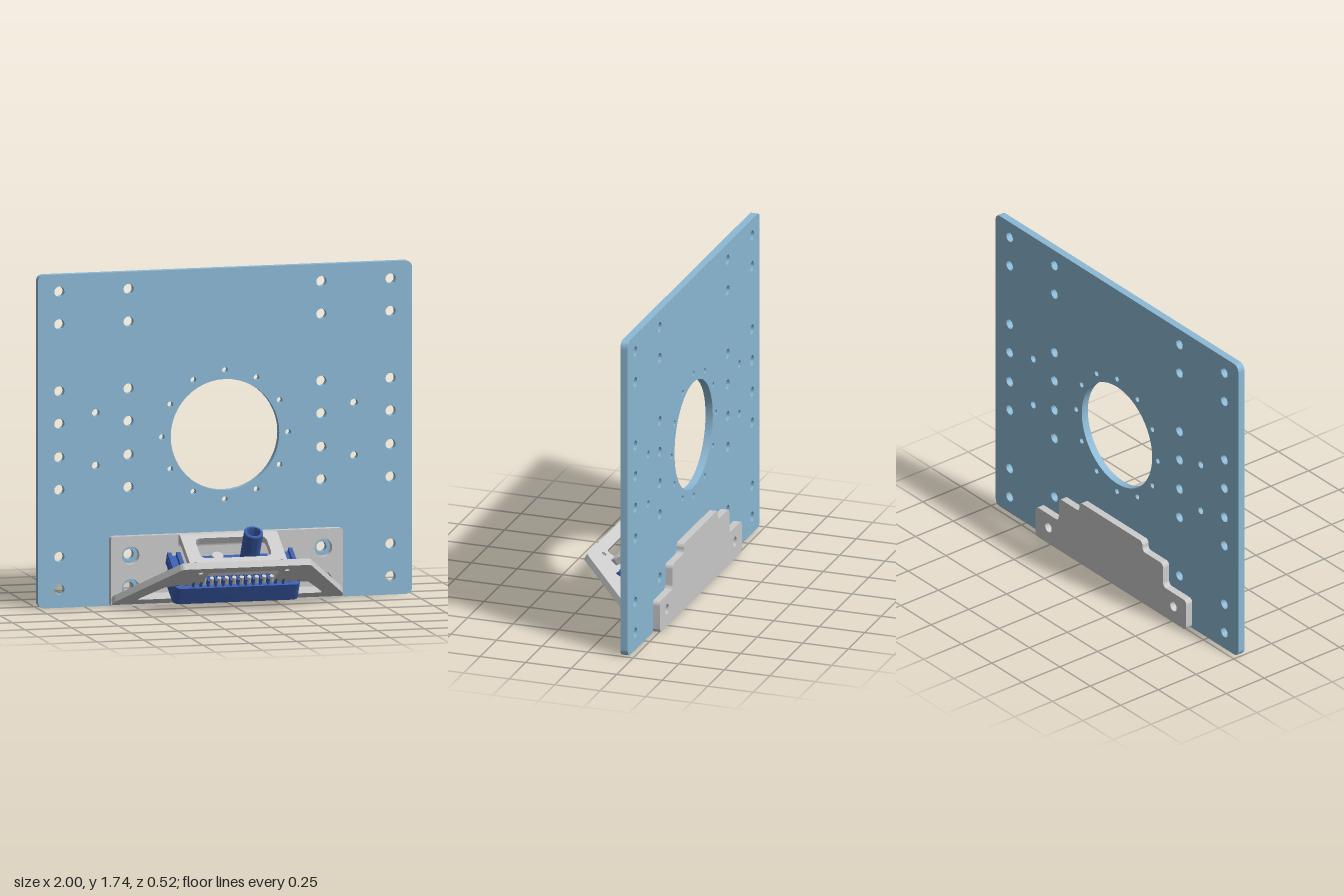
import * as THREE from 'three';
import { toCreasedNormals } from 'three/addons/utils/BufferGeometryUtils.js';

const grey = new THREE.MeshStandardMaterial({ color: 0xcccccc });
const sheetBlue = new THREE.MeshStandardMaterial({ color: 0x8dbad6 });
const darkBlue = new THREE.MeshStandardMaterial({ color: 0x3c5eae });
const pinMetal = new THREE.MeshStandardMaterial({ color: 0xd8d8d8 });

// Closed polygon with rounded corners; r is one radius for all corners
function roundedPoly(points, r, Type = THREE.Shape) {
  const path = new Type();
  const v = points.map(([x, y]) => new THREE.Vector2(x, y));
  v.forEach((p, i) => {
    const prev = v[(i + v.length - 1) % v.length], next = v[(i + 1) % v.length];
    const a = p.clone().add(prev.clone().sub(p).setLength(r));
    const b = p.clone().add(next.clone().sub(p).setLength(r));
    if (i === 0) path.moveTo(a.x, a.y); else path.lineTo(a.x, a.y);
    path.quadraticCurveTo(p.x, p.y, b.x, b.y);
  });
  path.closePath();
  return path;
}
const rect = (w, y0, y1) => [[-w, y0], [w, y0], [w, y1], [-w, y1]];

function addHole(shape, x, y, r) {
  shape.holes.push(new THREE.Path().absarc(x, y, r, 0, Math.PI * 2, true));
}

function addMesh(parent, name, geometry, material, x = 0, y = 0, z = 0) {
  const mesh = new THREE.Mesh(geometry, material);
  mesh.name = name;
  mesh.position.set(x, y, z);
  parent.add(mesh);
  return mesh;
}

function extrude(shape, depth, curveSegments = 12) {
  return toCreasedNormals(
    new THREE.ExtrudeGeometry(shape, { depth, bevelEnabled: false, curveSegments }), 0.6);
}

// Large sheet with mounting holes and a central opening
function buildSheet(parent) {
  const shape = roundedPoly(rect(1, 0, 1.74), 0.04);
  addHole(shape, 0, 0.87, 0.29);
  for (let i = 0; i < 12; i++) {
    const a = (i * Math.PI) / 6;
    addHole(shape, 0.337 * Math.cos(a), 0.87 + 0.337 * Math.sin(a), 0.015);
  }
  for (const side of [-1, 1]) {
    for (const y of [0.095, 0.265, 0.615, 0.785, 0.96, 1.13, 1.48, 1.65])
      for (const x of [0.515, 0.885]) addHole(shape, side * x, y, 0.027);
    for (const y of [0.735, 1.01]) addHole(shape, side * 0.69, y, 0.02);
  }
  addMesh(parent, 'mountingSheet', extrude(shape, 0.04, 24), sheetBlue, 0, 0, -0.22);
}

// Stepped clamping plate behind the sheet
function buildBackPlate(parent) {
  const half = [[0.62, 0], [0.62, 0.175], [0.43, 0.175], [0.43, 0.31], [0.26, 0.31], [0.26, 0.365]];
  const mirrored = half.map(([x, y]) => [-x, y]).reverse();
  const shape = roundedPoly([...half, ...mirrored], 0.026);
  for (const x of [-0.515, 0.515]) addHole(shape, x, 0.095, 0.027);
  addMesh(parent, 'backPlate', extrude(shape, 0.04), grey, 0, 0, -0.26);
}

// Front bracket: upright plate, sloping lower tray and sloping upper shelf
function buildBracket(parent) {
  const bracket = new THREE.Group();
  bracket.name = 'bracket';
  parent.add(bracket);

  const upright = roundedPoly(rect(0.62, 0, 0.365), 0.02);
  for (const x of [-0.515, 0.515])
    for (const y of [0.095, 0.265]) addHole(upright, x, y, 0.047);
  addMesh(bracket, 'bracketUpright', extrude(upright, 0.04), grey, 0, 0, -0.18);

  // Tray rising forward at 30 degrees, wide opening joined to a narrower slot
  const tray = roundedPoly([[-0.62, 0], [0.62, 0], [0.61, 0.04], [0.34, 0.463], [-0.34, 0.463], [-0.61, 0.04]], 0.018);
  tray.holes.push(roundedPoly([
    [-0.5, 0.06], [-0.38, 0.23], [-0.19, 0.23], [-0.19, 0.4],
    [0.19, 0.4], [0.19, 0.23], [0.38, 0.23], [0.5, 0.06]], 0.025, THREE.Path));
  for (const x of [-0.23, 0.23]) addHole(tray, x, 0.4, 0.014);
  const trayMesh = addMesh(bracket, 'lowerTray', extrude(tray, 0.036), grey, 0, 0.041, -0.158);
  trayMesh.rotation.x = Math.PI / 3;

  // Shelf falling forward at 30 degrees, with a window
  const shelf = new THREE.Group();
  shelf.name = 'upperShelf';
  shelf.rotation.x = Math.PI / 6;
  bracket.add(shelf);
  const outline = new THREE.Shape();
  outline.moveTo(-0.26, -0.266);
  outline.lineTo(0.26, -0.266);
  outline.lineTo(0.26, -0.018);
  outline.quadraticCurveTo(0.26, 0.022, 0.22, 0.022);
  outline.lineTo(-0.22, 0.022);
  outline.quadraticCurveTo(-0.26, 0.022, -0.26, -0.018);
  outline.closePath();
  outline.holes.push(roundedPoly(rect(0.19, -0.245, -0.08), 0.04, THREE.Path));
  for (const x of [-0.23, 0.23]) addHole(outline, x, -0.035, 0.014);
  addMesh(shelf, 'shelfPlate', extrude(outline, 0.036).rotateX(Math.PI / 2), grey, 0, 0.261, 0);

  // Curved bend between shelf and upright
  const bend = new THREE.Shape();
  bend.moveTo(-0.15, 0.365);
  bend.lineTo(-0.13, 0.365);
  bend.quadraticCurveTo(-0.115, 0.365, -0.098, 0.357);
  bend.lineTo(-0.116, 0.326);
  bend.quadraticCurveTo(-0.136, 0.33, -0.141, 0.295);
  bend.lineTo(-0.15, 0.295);
  bend.closePath();
  const bendGeometry = extrude(bend, 0.52).translate(0, 0, -0.26).rotateY(-Math.PI / 2);
  addMesh(bracket, 'shelfBend', bendGeometry, grey);
}

// Multi-pin plug hanging below the shelf, square to it
function buildConnector(parent) {
  const plug = new THREE.Group();
  plug.name = 'connector';
  plug.rotation.x = Math.PI / 6;
  parent.add(plug);
  const box = (name, w, h, d, x, y, z, material = darkBlue) =>
    addMesh(plug, name, new THREE.BoxGeometry(w, h, d), material, x, y, z);

  // Body shell with a recess open at the bottom
  const shell = roundedPoly(rect(0.335, -0.185, 0.022), 0.035);
  shell.holes.push(roundedPoly(rect(0.3, -0.155, -0.008), 0.025, THREE.Path));
  addMesh(plug, 'plugShell', extrude(shell, 0.1).rotateX(Math.PI / 2), darkBlue, 0, 0.146, 0);
  box('plugCore', 0.62, 0.07, 0.165, 0, 0.11, -0.082);
  box('plugBlock', 0.4, 0.04, 0.17, 0, 0.16, -0.115);

  // Ribs, contact pins and side latches
  for (let i = 0; i < 11; i++) {
    const x = -0.2 + i * 0.04;
    box('rib', 0.01, 0.04, 0.05, x, 0.163, -0.012);
    if (i < 10) {
      addMesh(plug, 'contactPin', new THREE.CylinderGeometry(0.012, 0.012, 0.04, 10), pinMetal, x + 0.02, 0.164, -0.012);
    }
  }
  for (const side of [-1, 1]) {
    for (const x of [0.275, 0.323]) box('latchFin', 0.022, 0.065, 0.21, side * x, 0.168, -0.11);
    box('latchBridge', 0.07, 0.045, 0.13, side * 0.3, 0.158, -0.145);
    box('endRib', 0.01, 0.04, 0.05, side * 0.24, 0.163, -0.012);
  }
  addMesh(plug, 'lockScrew', new THREE.CylinderGeometry(0.03, 0.03, 0.03, 20), pinMetal, -0.075, 0.19, -0.17);

  // Hollow cable sleeve
  const sleeve = [[0.05, 0], [0.05, 0.215], [0.045, 0.22], [0.036, 0.22], [0.034, 0.215], [0.034, 0.06], [0, 0.06]]
    .map(([r, y]) => new THREE.Vector2(r, y));
  addMesh(plug, 'cableSleeve', toCreasedNormals(new THREE.LatheGeometry(sleeve, 32), 0.6), darkBlue, 0.09, 0.15, -0.147);
}

export function createModel() {
  const model = new THREE.Group();
  model.name = 'mountingPlateWithConnector';
  buildSheet(model);
  buildBackPlate(model);
  buildBracket(model);
  buildConnector(model);
  return model;
}
